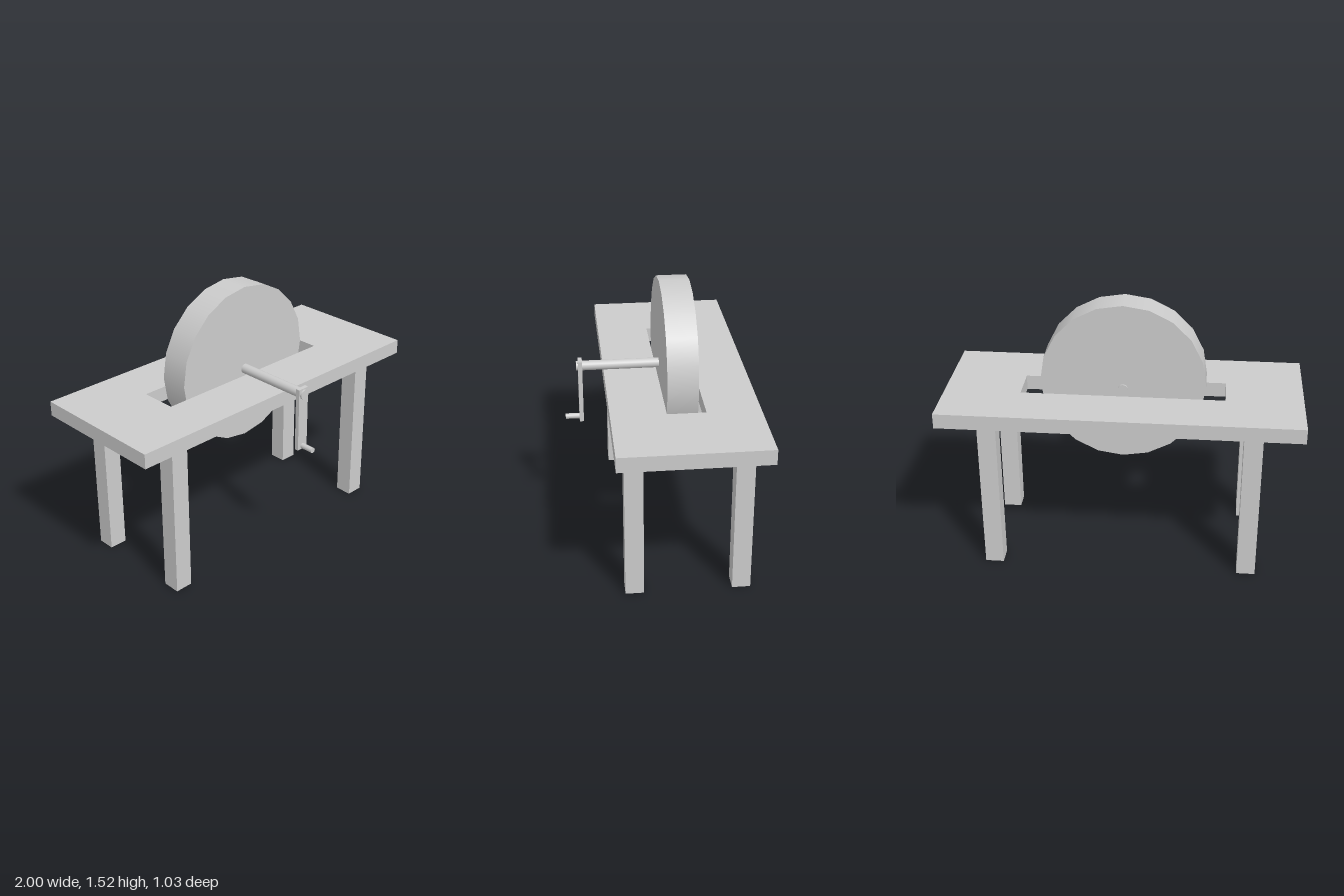
import * as THREE from 'three';

const material = new THREE.MeshStandardMaterial({ color: 0xcccccc });

function add(parent, name, geometry, x = 0, y = 0, z = 0) {
  const mesh = new THREE.Mesh(geometry, material);
  mesh.name = name;
  mesh.position.set(x, y, z);
  parent.add(mesh);
  return mesh;
}

// Cylinder lying along z, from z0 (back) to z1 (front)
function addRod(parent, name, radius, y, z0, z1, sides) {
  const geometry = new THREE.CylinderGeometry(radius, radius, z1 - z0, sides).rotateX(Math.PI / 2);
  return add(parent, name, geometry, 0, y, (z0 + z1) / 2);
}

function rectangle(Type, x, z0, z1) {
  return new Type([[-x, z0], [x, z0], [x, z1], [-x, z1]].map(([a, b]) => new THREE.Vector2(a, b)));
}

export function createModel() {
  const model = new THREE.Group();
  model.name = 'grindstoneTable';

  // Table top with a slot for the wheel
  const outline = rectangle(THREE.Shape, 1, -0.515, 0.29);
  outline.holes.push(rectangle(THREE.Path, 0.57, -0.22, -0.01));
  const slab = new THREE.ExtrudeGeometry(outline, { depth: 0.085, bevelEnabled: false });
  add(model, 'tableTop', slab.rotateX(Math.PI / 2), 0, 0.99, 0);

  // Four square legs
  for (const [side, x] of [['left', 0.727], ['right', -0.727]]) {
    for (const [end, z] of [['Front', 0.185], ['Back', -0.405]]) {
      add(model, `${side}${end}Leg`, new THREE.BoxGeometry(0.104, 0.905, 0.102), x, 0.4525, z);
    }
  }

  // Wheel with its crank: axle, arm and handle
  const crank = new THREE.Group();
  crank.name = 'wheelAndCrank';
  model.add(crank);
  addRod(crank, 'wheel', 0.46, 1.06, -0.195, -0.025, 20);
  addRod(crank, 'axle', 0.028, 1.025, -0.205, 0.445, 20);
  add(crank, 'crankArm', new THREE.BoxGeometry(0.07, 0.375, 0.024), 0, 0.8725, 0.423);
  addRod(crank, 'handle', 0.016, 0.705, 0.409, 0.515, 16);

  return model;
}
